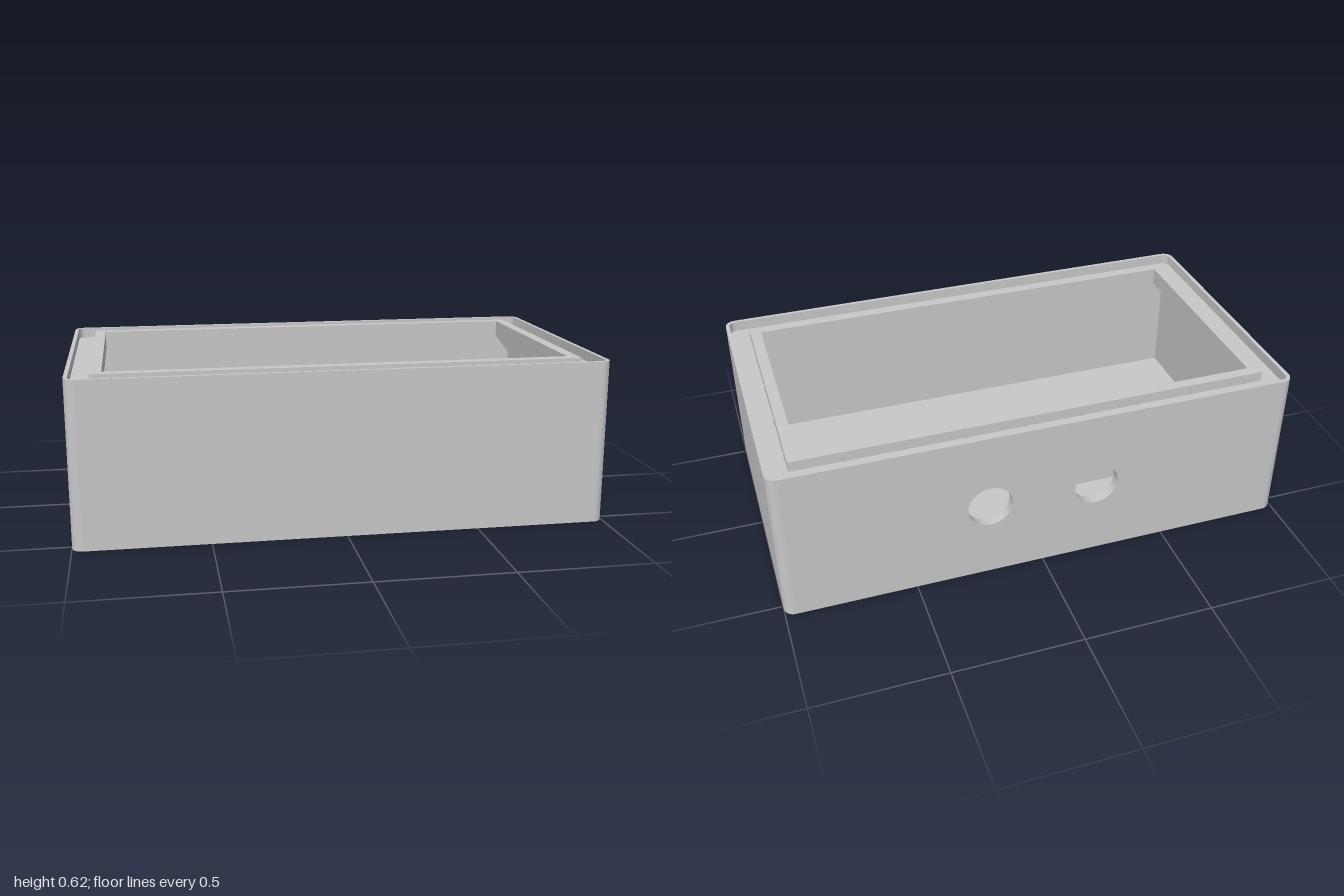
import * as THREE from 'three';
import { toCreasedNormals } from 'three/addons/utils/BufferGeometryUtils.js';

const HX = 1, HZ = 0.553, WALL = 0.04;      // outer half sizes, wall thickness
const FLOOR = 0.09, DECK = 0.585, TOP = 0.625;
const LIP_X = 0.87, LIP_Z = 0.426;          // opening inside the lip

export function createModel() {
  const group = new THREE.Group();
  const grey = new THREE.MeshStandardMaterial({ color: 0xc8c8c8 });
  grey.name = 'grey plastic';

  const add = (name, geometry) => {
    const mesh = new THREE.Mesh(geometry, grey);
    mesh.name = name;
    group.add(mesh);
    return mesh;
  };
  const extrude = (shape, depth) => toCreasedNormals(
    new THREE.ExtrudeGeometry(shape, { depth, bevelEnabled: false, curveSegments: 20 }), 0.5);

  // Plan shapes are drawn counter-clockwise in x and -z, then raised from y0 to y1
  const slab = (name, shape, y0, y1) =>
    add(name, extrude(shape, y1 - y0).rotateX(-Math.PI / 2).translate(0, y0, 0));
  const trace = (path, points) => {
    points.forEach(([x, z], i) => (i ? path.lineTo(x, -z) : path.moveTo(x, -z)));
    path.closePath();
    return path;
  };
  const rect = (x0, x1, z0, z1, Type = THREE.Path) =>
    trace(new Type(), [[x0, z1], [x1, z1], [x1, z0], [x0, z0]]);
  const circle = (x, z, r) => {
    const p = new THREE.Path();
    p.absarc(x, -z, r, 0, Math.PI * 2);
    return p;
  };
  const rounded = (hx, hz, r) => {
    const s = new THREE.Shape();
    s.absarc(hx - r, hz - r, r, 0, Math.PI / 2);
    s.absarc(r - hx, hz - r, r, Math.PI / 2, Math.PI);
    s.absarc(r - hx, r - hz, r, Math.PI, Math.PI * 1.5);
    s.absarc(hx - r, r - hz, r, Math.PI * 1.5, Math.PI * 2);
    s.closePath();
    return s;
  };
  const withHoles = (shape, ...holes) => {
    shape.holes.push(...holes);
    return shape;
  };

  // Floor with two raised pockets, three round recesses and arched notches
  const pockets = [
    { x0: -0.555, x1: 0, roof: 0.14, top: 0.168,
      holes: [[-0.507, -0.197, 0.026], [-0.055, -0.197, 0.026]] },
    { x0: 0.423, x1: 0.857, roof: 0.156, top: 0.24,
      holes: [[0.498, -0.197, 0.026], [0.78, -0.197, 0.026], [0.64, -0.057, 0.048]] },
  ];
  const PZ0 = -0.271, PZ1 = 0.162, T = 0.026;
  const opening = (p) => rect(p.x0 + T, p.x1 - T, PZ0 + T, PZ1 - T);
  const [wide, small] = pockets;
  const NZ = -0.055, NR = 0.062, NL = 0.07;   // notch centre, radius, length
  const ox0 = wide.x0 + T, ox1 = wide.x1 - T, oz0 = PZ0 + T, oz1 = PZ1 - T;
  const notched = () => trace(new THREE.Path(), [
    [ox0, oz0], [ox1, oz0], [ox1, NZ - NR], [ox1 + NL, NZ - NR], [ox1 + NL, NZ + NR], [ox1, NZ + NR],
    [ox1, oz1], [ox0, oz1], [ox0, NZ + NR], [ox0 - NL, NZ + NR], [ox0 - NL, NZ - NR], [ox0, NZ - NR],
  ]);
  const plan = () => rounded(HX, HZ, 0.04);
  const recesses = [[0.211, -0.056], [-0.278, 0.304], [-0.767, -0.056]];
  const DENT = 0.046;
  slab('floorBottom', withHoles(plan(), notched(), opening(small),
    ...recesses.map(([x, z]) => circle(x, z, 0.14))), 0, DENT);
  slab('floorMiddle', withHoles(plan(), notched(), opening(small)), DENT, NR);
  slab('floorTop', withHoles(plan(), opening(wide), opening(small)), NR, FLOOR);

  // Spandrels that turn the notches into arches
  for (const x of [ox0 - NL, ox1]) {
    for (const side of [-1, 1]) {
      const s = new THREE.Shape();
      s.moveTo(side * NR, 0);
      s.lineTo(side * NR, NR);
      s.lineTo(0, NR);
      s.absarc(0, 0, NR, Math.PI / 2, side > 0 ? 0 : Math.PI, side > 0);
      add('notchArch', extrude(s, NL).rotateY(Math.PI / 2).translate(x, 0, NZ));
    }
  }

  // Pocket walls and roofs standing on the floor
  for (const p of pockets) {
    const outer = () => rect(p.x0, p.x1, PZ0, PZ1, THREE.Shape);
    slab('pocketWall', withHoles(outer(), opening(p)), FLOOR, p.roof);
    slab('pocketRoof', withHoles(outer(), ...p.holes.map((h) => circle(...h))), p.roof, p.top);
  }

  // Front and side walls in one piece, back wall as a panel with two ports
  const ix = HX - WALL, iz = HZ - WALL, r = 0.04;
  const u = new THREE.Shape();
  u.moveTo(-ix, HZ);
  u.absarc(r - HX, HZ - r, r, Math.PI / 2, Math.PI);
  u.absarc(r - HX, r - HZ, r, Math.PI, Math.PI * 1.5);
  u.absarc(HX - r, r - HZ, r, Math.PI * 1.5, Math.PI * 2);
  u.absarc(HX - r, HZ - r, r, 0, Math.PI / 2);
  u.lineTo(ix, -iz);
  u.lineTo(-ix, -iz);
  u.closePath();
  slab('frontAndSideWalls', u, FLOOR, DECK);

  const back = new THREE.Shape();
  [[-ix, FLOOR], [ix, FLOOR], [ix, DECK], [-ix, DECK]].forEach(([x, y], i) =>
    (i ? back.lineTo(x, y) : back.moveTo(x, y)));
  back.closePath();
  for (const x of [-0.21, 0.21]) withHoles(back, circle(x, -0.3145, 0.086));
  add('backWall', extrude(back, WALL).translate(0, 0, -HZ));

  // Top edge: thin outer rim, groove deck and inner sealing lip
  const inner = () => rect(-LIP_X, LIP_X, -LIP_Z, LIP_Z);
  const cavity = () => rect(-ix, ix, -iz, iz, THREE.Shape);
  slab('outerRim', withHoles(plan(), rounded(HX - 0.015, HZ - 0.015, 0.025)), DECK, TOP);
  slab('grooveDeck', withHoles(cavity(), inner()), 0.555, DECK);
  slab('sealingLip', withHoles(rect(-0.912, 0.912, -0.467, 0.467, THREE.Shape), inner()), DECK, TOP);

  // Stepped support under the deck, growing in from the walls
  const STEPS = 6, RISE = 0.015;
  for (let i = 1; i < STEPS; i++) {
    const x = LIP_X + (ix - LIP_X) * i / STEPS, z = LIP_Z + (iz - LIP_Z) * i / STEPS;
    slab('lipSupport', withHoles(cavity(), rect(-x, x, -z, z)), 0.555 - RISE * i, 0.555 - RISE * (i - 1));
  }

  // Small grip ribs around the outside of the lip
  const rib = (x, z) => add('gripRib', new THREE.BoxGeometry(0.008, 0.03, 0.008))
    .position.set(x, DECK + 0.015, z);
  for (const side of [-1, 1]) {
    for (let i = 0; i < 8; i++) rib(-0.84 + 0.2225 * i, side * 0.467);
    for (let i = 0; i < 4; i++) rib(side * 0.911, -0.395 + 0.223 * i);
  }

  return group;
}
